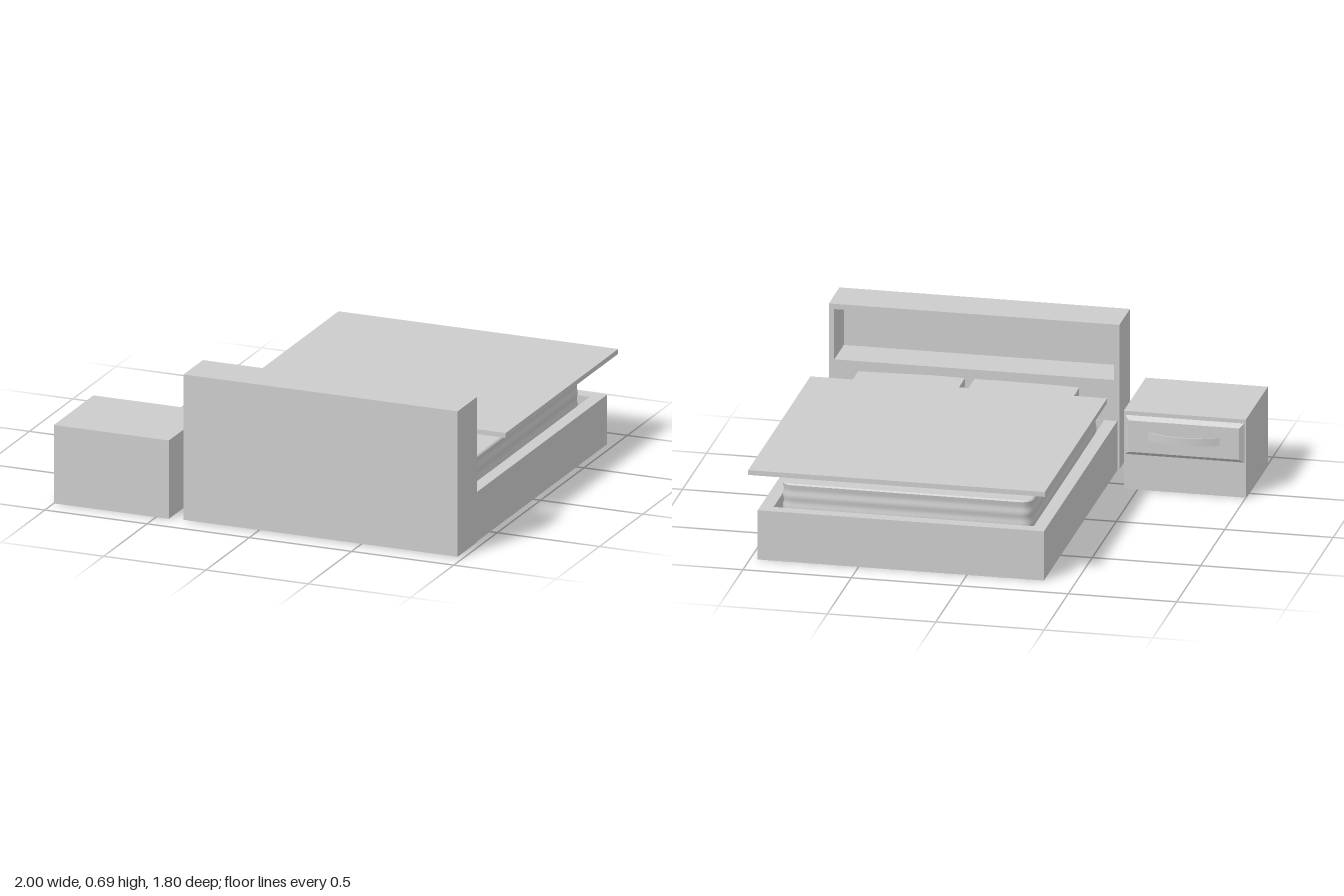
import * as THREE from 'three';
import { toCreasedNormals } from 'three/addons/utils/BufferGeometryUtils.js';

const grey = new THREE.MeshStandardMaterial({ color: 0xcccccc });

function add(parent, name, geometry) {
  const mesh = new THREE.Mesh(geometry, grey);
  mesh.name = name;
  parent.add(mesh);
  return mesh;
}

// Box given by its limits on each axis
function box(x0, x1, y0, y1, z0, z1) {
  return new THREE.BoxGeometry(x1 - x0, y1 - y0, z1 - z0)
    .translate((x0 + x1) / 2, (y0 + y1) / 2, (z0 + z1) / 2);
}

const polygon = (points) => new THREE.Shape(points.map(([x, y]) => new THREE.Vector2(x, y)));
const rect = (x0, x1, y0, y1) => polygon([[x0, y0], [x1, y0], [x1, y1], [x0, y1]]);

// Outline in x/z, raised from y0 to y1
function slab(shape, y0, y1) {
  return new THREE.ExtrudeGeometry(shape, { depth: y1 - y0, bevelEnabled: false, curveSegments: 12 })
    .rotateX(Math.PI / 2).translate(0, y1, 0);
}

// Rounded rectangle lofted upward through [inset, y] rings
function roundedLoft(x0, x1, z0, z1, radius, profile) {
  const steps = 6, count = 4 * (steps + 1), pos = [], index = [];
  const cx = (x0 + x1) / 2, cz = (z0 + z1) / 2;
  for (const [inset, y] of profile) {
    for (let c = 0; c < 4; c++) for (let s = 0; s <= steps; s++) {
      const a = (c + s / steps) * Math.PI / 2;
      const sx = c === 0 || c === 3 ? 1 : -1, sz = c < 2 ? 1 : -1;
      pos.push(cx + sx * ((x1 - x0) / 2 - radius) + Math.cos(a) * (radius - inset), y,
        cz + sz * ((z1 - z0) / 2 - radius) + Math.sin(a) * (radius - inset));
    }
  }
  const last = (profile.length - 1) * count, bottom = pos.length / 3, top = bottom + 1;
  pos.push(cx, profile[0][1], cz, cx, profile[profile.length - 1][1], cz);
  for (let i = 0; i < count; i++) {
    const j = (i + 1) % count;
    for (let r = 0; r < last; r += count) {
      index.push(r + i, r + count + i, r + j, r + j, r + count + i, r + count + j);
    }
    index.push(bottom, i, j, top, last + j, last + i);
  }
  const g = new THREE.BufferGeometry();
  g.setAttribute('position', new THREE.Float32BufferAttribute(pos, 3));
  g.setIndex(index);
  return toCreasedNormals(g, 0.7);
}

function makeHeadboard() {
  const g = new THREE.Group();
  g.name = 'headboard';
  // Open shelf niche facing the mattress, closed by a thin panel
  const face = rect(-0.365, 0.975, 0.005, 0.695);
  face.holes.push(rect(-0.34, 0.95, 0.43, 0.67));
  add(g, 'headboardShelf', new THREE.ExtrudeGeometry(face, { depth: 0.2, bevelEnabled: false })
    .translate(0, 0, 0.675));
  add(g, 'headboardPanel', box(-0.365, 0.975, 0.005, 0.695, 0.875, 0.897));
  return g;
}

function makeBed() {
  const g = new THREE.Group();
  g.name = 'bed';
  // Hollow frame with a floor
  const outline = rect(-0.355, 0.965, -0.85, 0.675);
  outline.holes.push(rect(-0.295, 0.905, -0.79, 0.672));
  add(g, 'bedFrame', slab(outline, 0, 0.235));
  add(g, 'bedFloor', box(-0.296, 0.906, 0, 0.1, -0.791, 0.674));

  // Mattress with gently ribbed sides
  const profile = [[0.01, 0.1]];
  for (let i = 0; i <= 20; i++) {
    profile.push([0.005 * Math.sin(i * Math.PI / 5) ** 2, 0.105 + i * 0.0112]);
  }
  profile.push([0.006, 0.335]);
  add(g, 'mattress', roundedLoft(-0.275, 0.882, -0.747, 0.652, 0.05, profile));

  // Pillows with slightly uneven edges
  const left = [[-0.205, 0.3], [0.287, 0.302], [0.285, 0.594], [0.16, 0.597], [-0.1, 0.592], [-0.2, 0.583]];
  const right = [[0.327, 0.302], [0.815, 0.3], [0.82, 0.582], [0.7, 0.59], [0.47, 0.602], [0.33, 0.596]];
  add(g, 'rightPillow', slab(polygon(left), 0.375, 0.415));
  add(g, 'leftPillow', slab(polygon(right), 0.375, 0.415));

  add(g, 'blanket', box(-0.37, 0.998, 0.418, 0.441, -0.899, 0.397));
  return g;
}

function makeNightstand() {
  const g = new THREE.Group();
  g.name = 'nightstand';
  add(g, 'nightstandBody', box(-1, -0.437, 0, 0.372, 0.44, 0.897));

  // Drawer front: a box whose outer face is drawn in to form a bevel
  const front = box(-0.995, -0.442, 0.165, 0.355, 0.42, 0.442);
  const p = front.attributes.position;
  for (let i = 0; i < p.count; i++) {
    if (p.getZ(i) > 0.43) continue;
    p.setX(i, p.getX(i) + (p.getX(i) < -0.72 ? 0.022 : -0.022));
    p.setY(i, p.getY(i) + (p.getY(i) < 0.26 ? 0.02 : -0.02));
  }
  front.computeVertexNormals();
  add(g, 'drawerFront', front);

  // Bowed handle band
  const band = new THREE.Shape();
  band.moveTo(-0.888, 0.422);
  band.quadraticCurveTo(-0.718, 0.338, -0.548, 0.422);
  band.lineTo(-0.56, 0.422);
  band.quadraticCurveTo(-0.718, 0.352, -0.876, 0.422);
  add(g, 'drawerHandle', toCreasedNormals(slab(band, 0.245, 0.283), 0.6));
  return g;
}

export function createModel() {
  const model = new THREE.Group();
  model.name = 'bedroomSet';
  model.add(makeHeadboard(), makeBed(), makeNightstand());
  return model;
}
